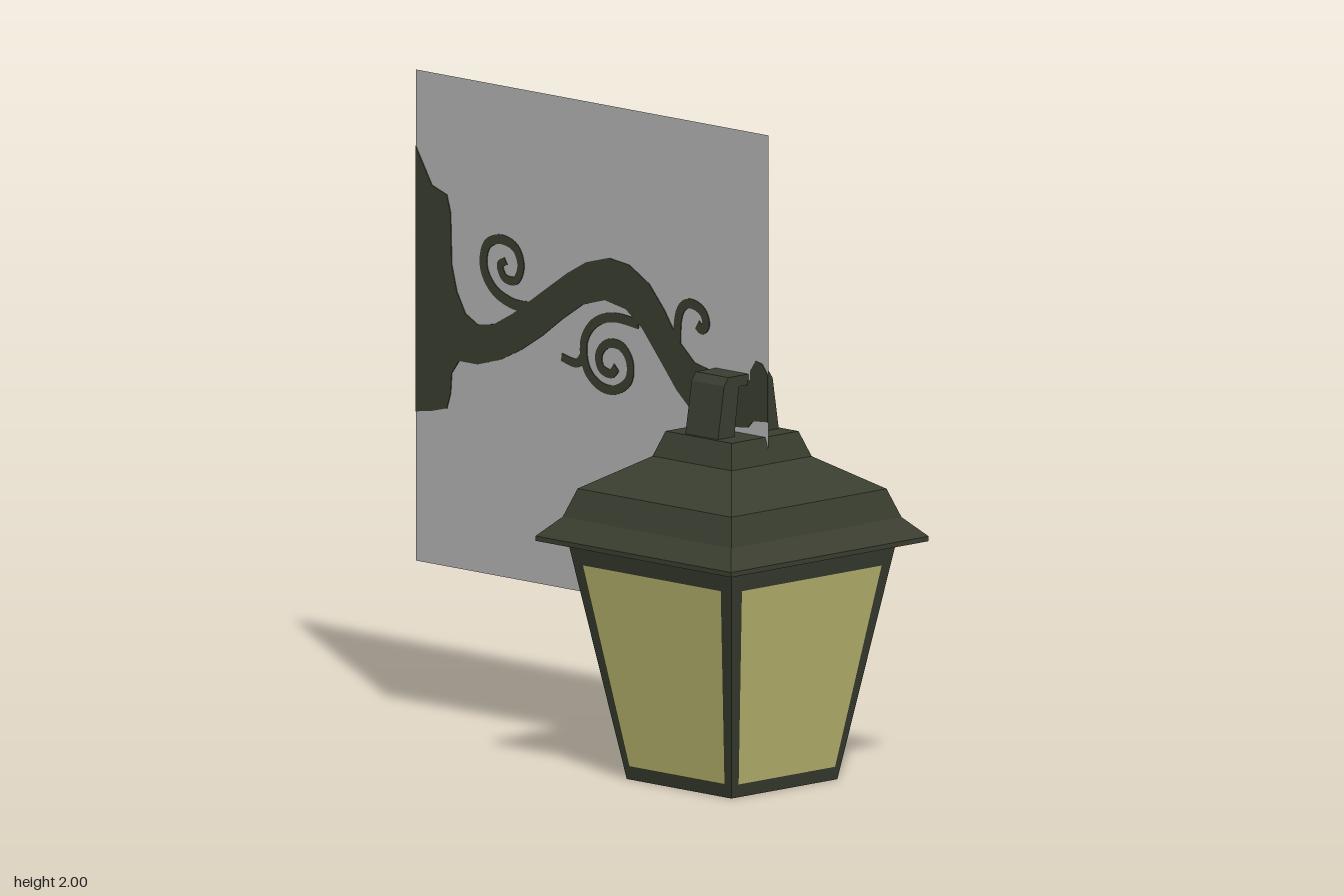
import * as THREE from 'three';

const CENTRE_Z = 0.47;

// Square solid of revolution with flat faces; profile runs from bottom to top
function squareLathe(profile) {
  const pts = profile.map(([r, y]) => new THREE.Vector2(r * Math.SQRT2, y));
  const geo = new THREE.LatheGeometry(pts, 4, Math.PI / 4).toNonIndexed();
  geo.computeVertexNormals();
  return geo;
}

// Thin plate in the x = 0 plane; shape x runs towards the wall (-z)
function sidePlate(shape) {
  const geo = new THREE.ExtrudeGeometry(shape, { depth: 0.006, bevelEnabled: false });
  geo.translate(0, 0, -0.003);
  return geo.rotateY(Math.PI / 2);
}

const toShape = (pairs) => new THREE.Shape(pairs.map(([x, y]) => new THREE.Vector2(x, y)));

// Ribbon of tapering width along a smooth curve
function ribbon(pairs, startWidth, endWidth) {
  const curve = new THREE.SplineCurve(pairs.map(([x, y]) => new THREE.Vector2(x, y)));
  const n = pairs.length * 5;
  const left = [], right = [];
  for (let i = 0; i <= n; i++) {
    const t = i / n;
    const p = curve.getPoint(t), d = curve.getTangent(t);
    const w = THREE.MathUtils.lerp(startWidth, endWidth, t) / 2;
    left.push([p.x - d.y * w, p.y + d.x * w]);
    right.unshift([p.x + d.y * w, p.y - d.x * w]);
  }
  return toShape([...left, ...right]);
}

export function createModel() {
  const iron = new THREE.MeshStandardMaterial({ color: 0x3a3e30 });
  iron.name = 'darkGreenIron';
  const glass = new THREE.MeshStandardMaterial({ color: 0xc2bd74 });
  glass.name = 'paleYellowGlass';
  const grey = new THREE.MeshStandardMaterial({ color: 0xb6b6b6, side: THREE.DoubleSide });
  grey.name = 'greyPanel';

  const model = new THREE.Group();
  model.name = 'wallLantern';
  const add = (parent, name, geo, mat) => {
    const mesh = new THREE.Mesh(geo, mat);
    mesh.name = name;
    parent.add(mesh);
    return mesh;
  };

  // Lantern
  const lantern = new THREE.Group();
  lantern.name = 'lantern';
  lantern.position.z = CENTRE_Z;
  model.add(lantern);

  add(lantern, 'lanternFrame', squareLathe([[0, 0], [0.225, 0], [0.35, 0.725]]), iron);
  add(lantern, 'roof', squareLathe([
    [0, 0.72], [0.345, 0.72], [0.42, 0.732], [0.42, 0.747], [0.362, 0.806],
    [0.33, 0.893], [0.17, 0.993], [0.142, 1.07], [0, 1.07],
  ]), iron);

  // Glass panes, one on each sloping side
  const faceZ = (y) => 0.225 + (0.125 * y) / 0.725 + 0.003;
  const pane = new THREE.BufferGeometry();
  const [yb, yt, wb, wt] = [0.042, 0.663, 0.205, 0.297];
  pane.setAttribute('position', new THREE.Float32BufferAttribute([
    -wb, yb, faceZ(yb), wb, yb, faceZ(yb), wt, yt, faceZ(yt), -wt, yt, faceZ(yt),
  ], 3));
  pane.setIndex([0, 1, 2, 0, 2, 3]);
  pane.computeVertexNormals();
  ['front', 'left', 'back', 'right'].forEach((side, i) => {
    add(lantern, side + 'Pane', pane, glass).rotation.y = (i * Math.PI) / 2;
  });

  // Hanging loop on top of the roof
  const half = [[0.04, 1.222], [0.06, 1.065], [0.13, 1.065], [0.103, 1.23], [0.085, 1.255]];
  const loop = toShape([...half, ...half.map(([x, y]) => [-x, y]).reverse()]);
  const loopGeo = new THREE.ExtrudeGeometry(loop, { depth: 0.14, bevelEnabled: false });
  add(lantern, 'hangingLoop', loopGeo.translate(0, 0, -0.07), iron);

  // Flat panel carrying the bracket
  const panel = add(model, 'backingPanel', new THREE.PlaneGeometry(1.515, 1.51), grey);
  panel.rotation.y = Math.PI / 2;
  panel.position.set(0, 1.245, -0.13);

  // Wall bracket: hook end, wavy arm and wall mount
  const bracket = new THREE.Group();
  bracket.name = 'bracket';
  model.add(bracket);
  add(bracket, 'arm', sidePlate(toShape([
    [-0.625, 1.262], [-0.6, 1.294], [-0.573, 1.299], [-0.551, 1.267], [-0.55, 1.235],
    [-0.4, 1.24], [-0.31, 1.26], [-0.24, 1.32], [-0.18, 1.405], [-0.117, 1.474],
    [-0.03, 1.522], [0.058, 1.532], [0.154, 1.506], [0.233, 1.463], [0.313, 1.41],
    [0.392, 1.357], [0.472, 1.304], [0.551, 1.262], [0.62, 1.251], [0.673, 1.278],
    [0.71, 1.341], [0.732, 1.421], [0.737, 1.58], [0.753, 1.633], [0.817, 1.654],
    [0.887, 1.766], [0.887, 0.949], [0.817, 0.96], [0.753, 0.976], [0.737, 1.023],
    [0.732, 1.087], [0.7, 1.129], [0.62, 1.129], [0.525, 1.156], [0.435, 1.198],
    [0.339, 1.257], [0.26, 1.315], [0.17, 1.373], [0.074, 1.4], [-0.016, 1.384],
    [-0.085, 1.336], [-0.164, 1.246], [-0.233, 1.166], [-0.307, 1.103], [-0.4, 1.077],
    [-0.54, 1.09], [-0.562, 1.113], [-0.625, 1.118],
  ])), iron);

  // Scrolls
  add(bracket, 'outerScroll', sidePlate(ribbon([
    [-0.235, 1.3], [-0.24, 1.384], [-0.262, 1.427], [-0.302, 1.438], [-0.345, 1.42],
    [-0.36, 1.385], [-0.343, 1.365], [-0.322, 1.378],
  ], 0.03, 0.03)), iron);
  add(bracket, 'wallScroll', sidePlate(ribbon([
    [0.39, 1.335], [0.47, 1.336], [0.55, 1.368], [0.594, 1.43], [0.583, 1.5],
    [0.525, 1.527], [0.46, 1.51], [0.435, 1.458], [0.456, 1.41], [0.504, 1.41],
    [0.525, 1.447], [0.5, 1.463],
  ], 0.034, 0.024)), iron);
  add(bracket, 'lowerScroll', sidePlate(ribbon([
    [-0.07, 1.345], [0.037, 1.352], [0.117, 1.325], [0.164, 1.262], [0.154, 1.182],
    [0.1, 1.135], [0.032, 1.129], [-0.027, 1.166], [-0.032, 1.225], [0.005, 1.267],
    [0.064, 1.267], [0.1, 1.23], [0.09, 1.188], [0.048, 1.177], [0.025, 1.2],
  ], 0.03, 0.028)), iron);
  add(bracket, 'scrollTail', sidePlate(ribbon(
    [[0.16, 1.225], [0.195, 1.19], [0.26, 1.2]], 0.03, 0.024)), iron);

  return model;
}
